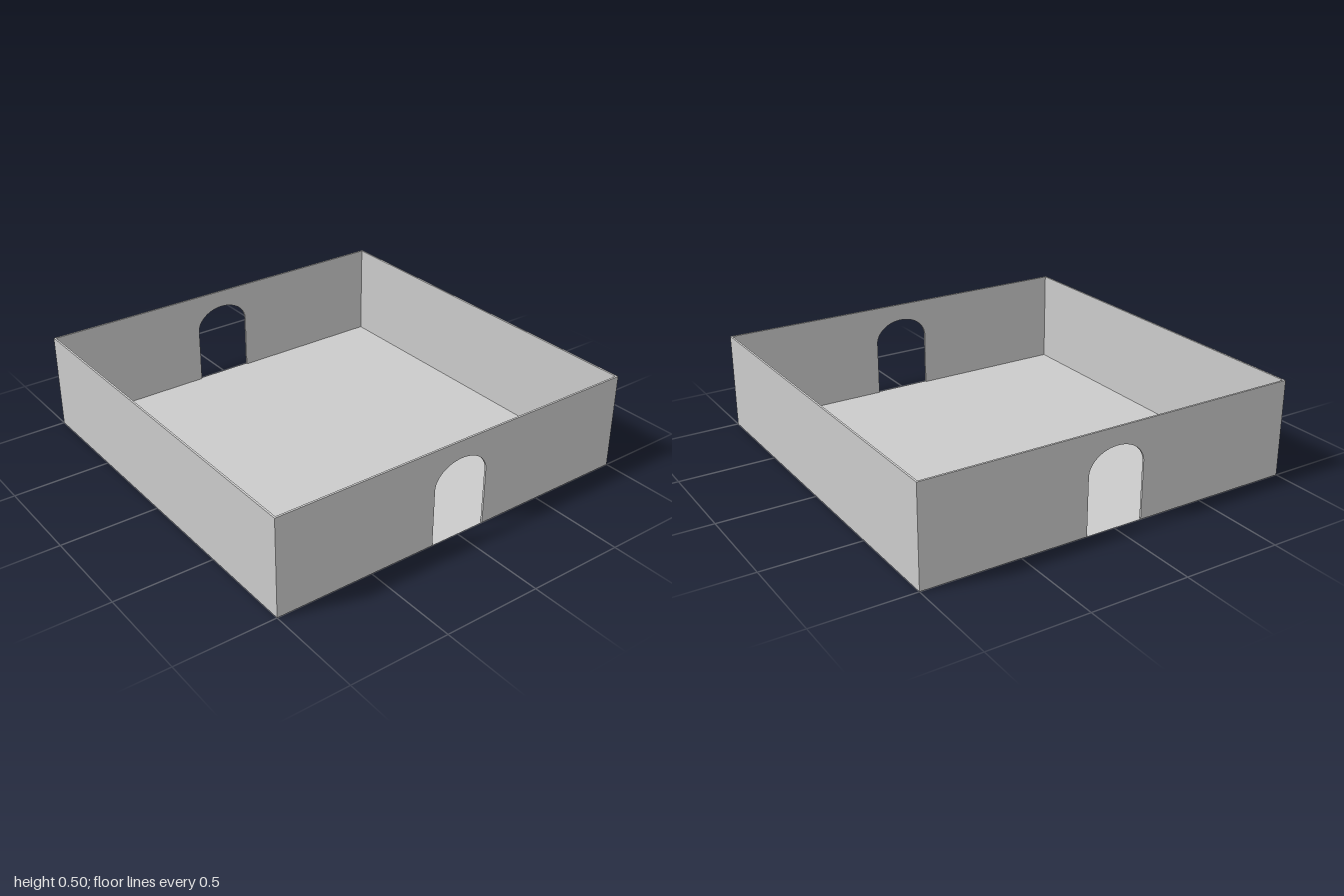
import * as THREE from 'three';

const SIZE = 2, HEIGHT = 0.5, THICK = 0.01;
const DOOR_HALF = 0.152, SPRING = 0.294, RISE = 0.115;

export function createModel() {
  const group = new THREE.Group();
  const material = new THREE.MeshStandardMaterial({ color: 0xcccccc });
  const add = (name, geometry, mat = material) => {
    const mesh = new THREE.Mesh(geometry, mat);
    mesh.name = name;
    group.add(mesh);
    return mesh;
  };

  // Thin floor sheet
  const floorMaterial = material.clone();
  floorMaterial.side = THREE.DoubleSide;
  add('floor', new THREE.PlaneGeometry(SIZE, SIZE).rotateX(-Math.PI / 2), floorMaterial);

  // Wall outline with an arched doorway open at the bottom
  const half = SIZE / 2;
  const outline = new THREE.Shape();
  outline.moveTo(-half, 0);
  outline.lineTo(-DOOR_HALF, 0);
  outline.lineTo(-DOOR_HALF, SPRING);
  outline.absellipse(0, SPRING, DOOR_HALF, RISE, Math.PI, 0, true);
  outline.lineTo(DOOR_HALF, 0);
  outline.lineTo(half, 0);
  outline.lineTo(half, HEIGHT);
  outline.lineTo(-half, HEIGHT);
  outline.closePath();
  const doorWall = new THREE.ExtrudeGeometry(outline, { depth: THICK, bevelEnabled: false, curveSegments: 24 });
  add('frontWall', doorWall).position.z = half - THICK;
  add('backWall', doorWall).position.z = -half;

  // Plain side walls between the door walls
  const sideWall = new THREE.BoxGeometry(THICK, HEIGHT, SIZE - 2 * THICK);
  for (const [name, side] of [['leftWall', 1], ['rightWall', -1]]) {
    add(name, sideWall).position.set(side * (half - THICK / 2), HEIGHT / 2, 0);
  }
  return group;
}
